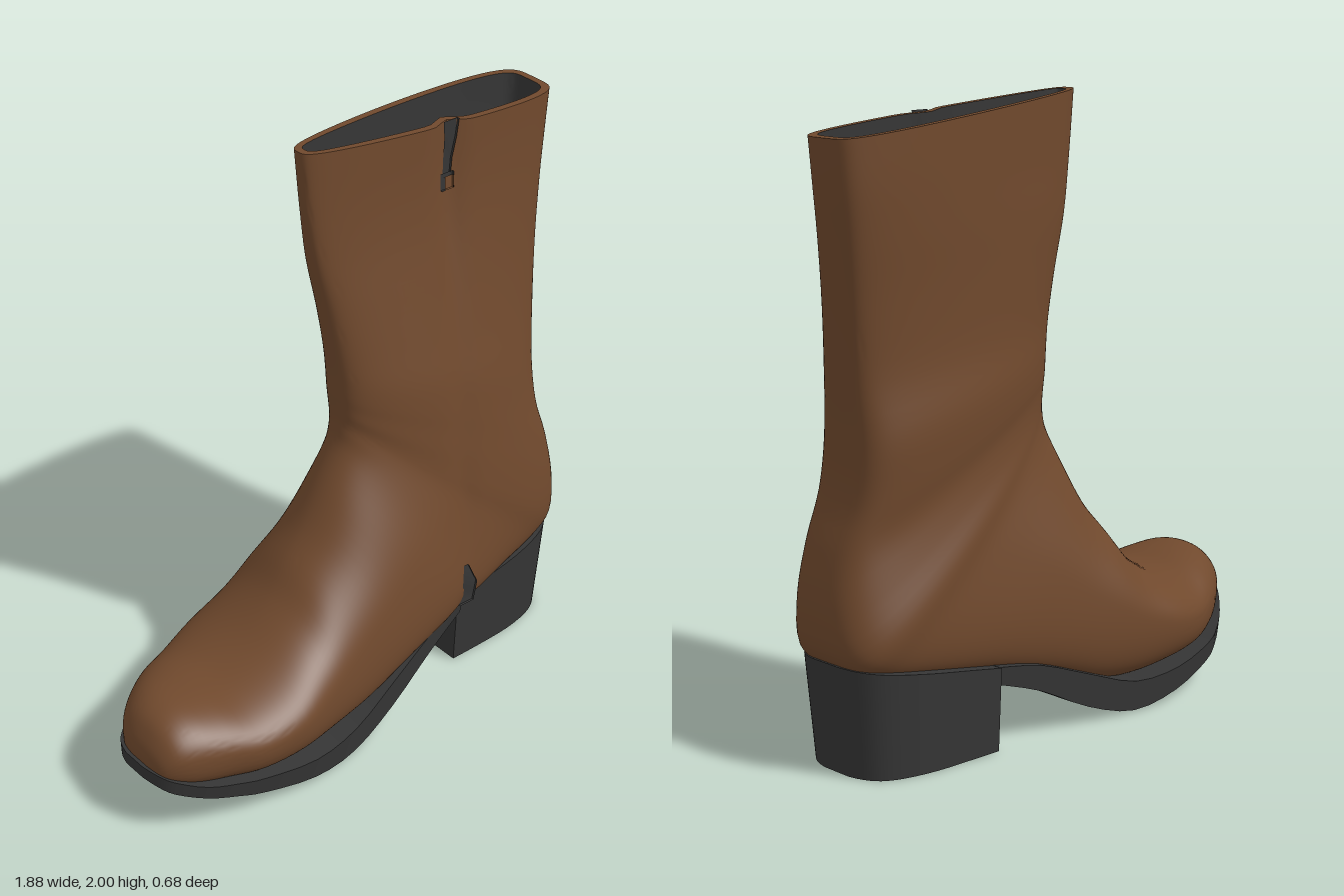
import * as THREE from 'three';
import { toCreasedNormals } from 'three/addons/utils/BufferGeometryUtils.js';

const lerp = THREE.MathUtils.lerp;

// Smoothly subdivide rows of numbers, column by column (Catmull-Rom)
function refine(rows, steps) {
  const out = [];
  const at = (i) => rows[Math.min(Math.max(i, 0), rows.length - 1)];
  for (let i = 0; i < rows.length - 1; i++) {
    for (let s = 0; s < steps; s++) {
      const t = s / steps;
      out.push(rows[i].map((b, c) => {
        const a = at(i - 1)[c], d = at(i + 1)[c], e = at(i + 2)[c];
        return b + 0.5 * t * (d - a + t * (2 * a - 5 * b + 4 * d - e + t * (3 * (b - d) + e - a)));
      }));
    }
  }
  out.push(rows[rows.length - 1]);
  return out;
}

// Skin closed rings of equal length, with optional end caps
function loft(rings, capStart, capEnd, crease = 0.8) {
  const n = rings[0].length, pos = [], idx = [];
  rings.forEach((r) => r.forEach((p) => pos.push(...p)));
  for (let k = 0; k < rings.length - 1; k++) {
    for (let i = 0; i < n; i++) {
      const a = k * n + i, b = k * n + (i + 1) % n;
      idx.push(a, b, a + n, b, b + n, a + n);
    }
  }
  const cap = (k, flip) => {
    const c = pos.length / 3;
    pos.push(...[0, 1, 2].map((j) => rings[k].reduce((s, p) => s + p[j], 0) / n));
    for (let i = 0; i < n; i++) {
      const a = k * n + i, b = k * n + (i + 1) % n;
      idx.push(c, flip ? b : a, flip ? a : b);
    }
  };
  if (capStart) cap(0, true);
  if (capEnd) cap(rings.length - 1, false);
  const g = new THREE.BufferGeometry();
  g.setAttribute('position', new THREE.Float32BufferAttribute(pos, 3));
  g.setIndex(idx);
  return toCreasedNormals(g, crease);
}

// Upper cross-sections: front x, y, back x, y, front z, back z,
// front half width, back half width, front roundness, back roundness
const FOOT = [
  [-0.925, 0.265, -0.925, 0.21, 0.1, 0.1, 0.04, 0.045, 0.8, 0.6],
  [-0.91, 0.31, -0.91, 0.19, 0.1, 0.1, 0.095, 0.115, 0.8, 0.5],
  [-0.87, 0.365, -0.87, 0.17, 0.09, 0.09, 0.145, 0.165, 0.9, 0.4],
  [-0.8, 0.39, -0.8, 0.15, 0.07, 0.072, 0.19, 0.215, 0.9, 0.35],
  [-0.7, 0.383, -0.7, 0.13, 0.048, 0.045, 0.245, 0.265, 0.9, 0.33],
  [-0.58, 0.367, -0.58, 0.11, 0.03, 0.025, 0.295, 0.308, 0.9, 0.33],
  [-0.44, 0.41, -0.42, 0.1, 0.0, 0.002, 0.32, 0.335, 1, 0.33],
  [-0.31, 0.5, -0.25, 0.09, -0.03, -0.02, 0.295, 0.328, 1.1, 0.32],
  [-0.23, 0.6, -0.08, 0.11, -0.05, -0.032, 0.265, 0.32, 1.1, 0.3],
  [-0.15, 0.7, 0.12, 0.175, -0.055, -0.042, 0.235, 0.308, 1.1, 0.28],
  [-0.07, 0.84, 0.36, 0.235, -0.06, -0.062, 0.2, 0.295, 1, 0.28],
  [-0.01, 0.95, 0.6, 0.275, -0.065, -0.09, 0.172, 0.272, 0.9, 0.3],
  [0.005, 1.01, 0.79, 0.305, -0.068, -0.105, 0.158, 0.262, 0.8, 0.38],
];
const SHAFT = [
  [0.008, 1.04, 0.89, 0.36, -0.07, -0.11, 0.155, 0.265, 0.75, 0.48],
  [0.008, 1.07, 0.905, 0.51, -0.07, -0.098, 0.155, 0.235, 0.7, 0.53],
  [0.006, 1.1, 0.875, 0.68, -0.072, -0.095, 0.155, 0.21, 0.7, 0.53],
  [0.003, 1.14, 0.832, 0.83, -0.073, -0.112, 0.155, 0.208, 0.7, 0.48],
  [0, 1.2, 0.825, 1.0, -0.075, -0.13, 0.152, 0.2, 0.7, 0.48],
  [-0.01, 1.3, 0.842, 1.2, -0.082, -0.138, 0.138, 0.165, 0.7, 0.46],
  [-0.03, 1.45, 0.868, 1.42, -0.097, -0.16, 0.118, 0.15, 0.65, 0.43],
  [-0.06, 1.62, 0.898, 1.62, -0.113, -0.182, 0.095, 0.15, 0.6, 0.42],
  [-0.08, 1.8, 0.922, 1.77, -0.12, -0.195, 0.08, 0.153, 0.6, 0.42],
  [-0.095, 2.0, 0.94, 1.915, -0.125, -0.2, 0.077, 0.155, 0.6, 0.42],
];

// One closed ring of the upper, with the zip groove pressed into the +z side
function upperRing([fx, fy, bx, by, fz, bz, fw, bw, fp, bp], inset = 0) {
  const n = 96, ring = [], len = Math.hypot(bx - fx, by - fy), e = inset / len;
  for (let i = 0; i < n; i++) {
    const a = (i / n) * Math.PI * 2, s = Math.sin(a);
    const u = (1 - Math.cos(a)) / 2, t = lerp(e, 1 - e, u);
    const x = lerp(fx, bx, t), y = lerp(fy, by, t);
    const w = lerp(fw, bw, t) - inset * 0.9;
    let z = lerp(fz, bz, t) + Math.sign(s) * w * Math.pow(Math.abs(s), u < 0.5 ? fp : bp);
    if (s > 0.01) {
      const d = (x - 0.37 - 0.043 * y) / 0.045;
      z -= lerp(0.012, 0.035, THREE.MathUtils.smoothstep(y, 1.2, 1.95)) * Math.exp(-d * d);
    }
    ring.push([x, y, z]);
  }
  return ring;
}

// Sole stations: x, centre z, half width, top y, bottom y
const SOLE = [
  [-0.942, 0.095, 0.045, 0.24, 0.195],
  [-0.925, 0.1, 0.1, 0.232, 0.185],
  [-0.89, 0.095, 0.15, 0.215, 0.165],
  [-0.8, 0.072, 0.22, 0.18, 0.13],
  [-0.7, 0.045, 0.272, 0.157, 0.1],
  [-0.6, 0.025, 0.307, 0.137, 0.072],
  [-0.4, 0.0, 0.337, 0.11, 0.03],
  [-0.2, -0.025, 0.316, 0.105, 0.005],
  [0, -0.045, 0.287, 0.17, 0.06],
  [0.2, -0.065, 0.258, 0.24, 0.155],
  [0.38, -0.09, 0.232, 0.272, 0.215],
];
const HEEL = [
  [0.375, -0.1, 0.226, 0.27, 0],
  [0.5, -0.103, 0.226, 0.29, 0],
  [0.65, -0.108, 0.222, 0.313, 0],
  [0.77, -0.112, 0.2, 0.33, 0],
  [0.84, -0.115, 0.165, 0.34, 0],
  [0.875, -0.115, 0.115, 0.345, 0],
  [0.89, -0.115, 0.06, 0.348, 0],
];

// Slab along x whose underside is narrower and drawn forward
function slab(rows, taper, slant) {
  const rings = refine(rows, 3).map(([x, z, w, top, bot]) => {
    const xb = x - slant * (x - rows[0][0]), wb = w * taper;
    return [[x, top, z - w], [x, top, z], [x, top, z + w],
      [xb, bot, z + wb], [xb, bot, z], [xb, bot, z - wb]];
  });
  return loft(rings, true, true, 0.7);
}

export function createModel() {
  const model = new THREE.Group();
  model.name = 'boot';
  const leather = new THREE.MeshStandardMaterial({ color: 0x70492d });
  leather.name = 'brown leather';
  const rubber = new THREE.MeshStandardMaterial({ color: 0x353535 });
  rubber.name = 'dark rubber';
  const add = (name, geo, mat) => {
    const m = new THREE.Mesh(geo, mat);
    m.name = name;
    model.add(m);
  };

  // Leather upper from toe to collar, turned in at the rim
  const sections = refine([...FOOT, ...SHAFT], 4);
  const collar = sections[sections.length - 1];
  const outer = sections.map((s) => upperRing(s));
  add('upper', loft([...outer, upperRing(collar, 0.028)], true, false), leather);

  // Dark lining running down inside the shaft
  const lining = sections.slice(FOOT.length * 4).reverse().map((s) => upperRing(s, 0.028));
  add('lining', loft(lining, false, true), rubber);

  // Sole and stacked heel
  add('sole', slab(SOLE, 0.97, 0), rubber);
  add('heel', slab(HEEL, 0.94, 0.065), rubber);

  // Thin strips bridging the zip groove on the +z side: x, y, half width per point
  const side = outer.flatMap((r) => r.slice(1, 48));
  const surfaceZ = (x, y) => side.reduce((best, p) => {
    const d = Math.hypot(p[0] - x, p[1] - y);
    return d < best[0] ? [d, p[2]] : best;
  }, [9, 0])[1];
  const strip = (name, pts, lift, mat) => {
    const rings = pts.map(([x, y, w]) => {
      const z = Math.max(...[-1, -0.5, 0, 0.5, 1].map((k) => surfaceZ(x + k * w, y))) + lift;
      return [[x - w, y, z], [x - w, y, z - 0.008], [x + w, y, z - 0.008], [x + w, y, z]];
    });
    add(name, loft(rings.reverse(), true, true), mat);
  };
  strip('zipOpening', [[0.462, 1.958, 0.028], [0.458, 1.9, 0.022], [0.45, 1.83, 0.015], [0.445, 1.77, 0.013]], 0.006, rubber);
  strip('zipPullFrame', [[0.443, 1.785, 0.024], [0.441, 1.73, 0.024]], 0.012, rubber);
  strip('zipPull', [[0.443, 1.778, 0.015], [0.441, 1.737, 0.015]], 0.022, leather);
  strip('zipGusset', [[0.372, 0.43, 0.008], [0.38, 0.36, 0.028], [0.378, 0.31, 0.032], [0.37, 0.28, 0.03]], 0.005, rubber);

  return model;
}
